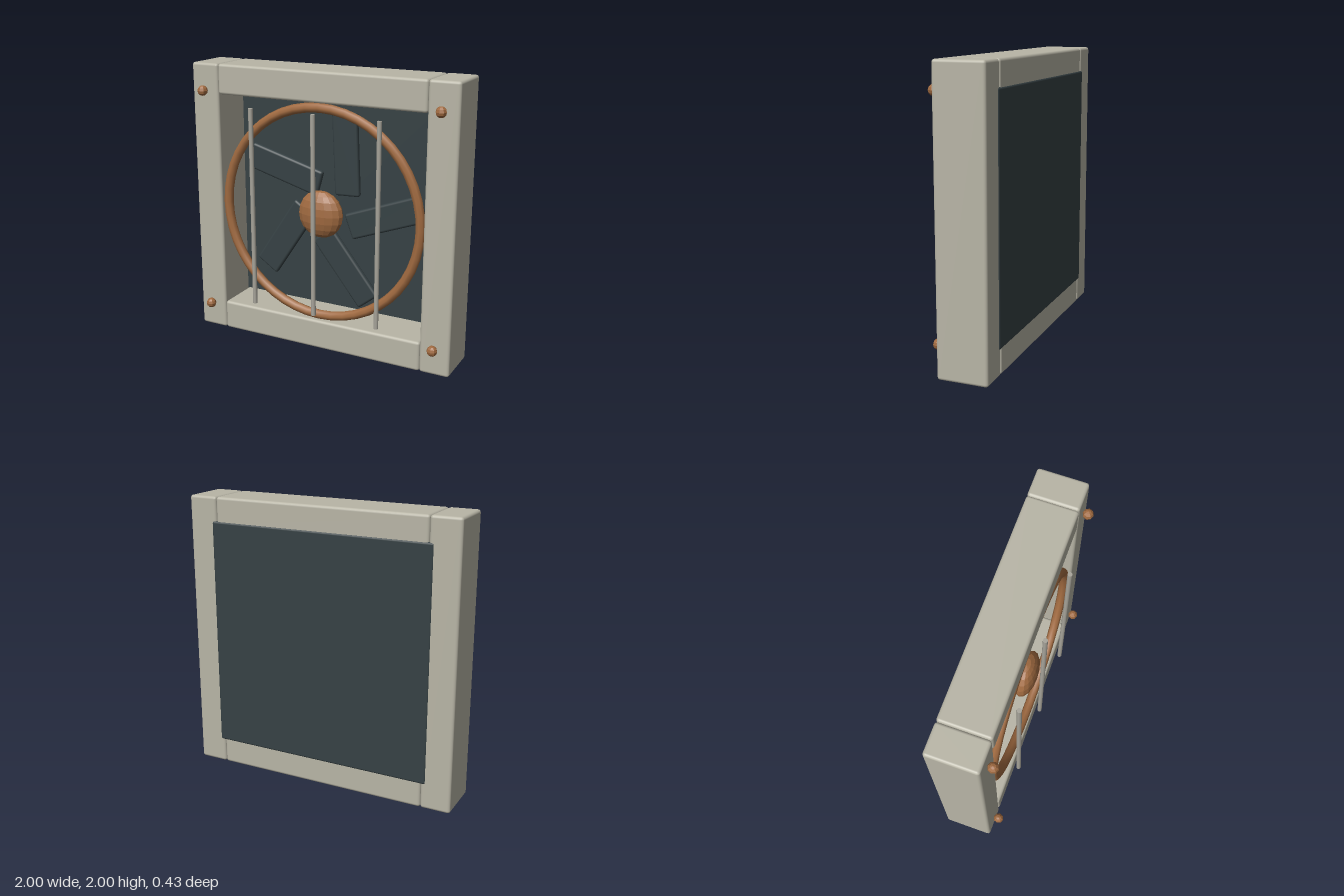
import * as THREE from 'three';
import { RoundedBoxGeometry } from 'three/addons/geometries/RoundedBoxGeometry.js';

const material = (color, flatShading = false) => new THREE.MeshStandardMaterial({ color, flatShading });

export function createModel() {
  const group = new THREE.Group();
  const stone = material(0xb8b5a6);
  const dark = material(0x364144);
  const copper = material(0xa06a40, true);
  const steel = material(0xa8a59b);

  function add(name, geometry, mat, x, y, z, parent = group) {
    const mesh = new THREE.Mesh(geometry, mat);
    mesh.name = name;
    mesh.position.set(x, y, z);
    parent.add(mesh);
    return mesh;
  }

  // Square frame: two full-height posts with rails between them
  const postGeometry = new RoundedBoxGeometry(0.215, 2, 0.35, 2, 0.02);
  const railGeometry = new RoundedBoxGeometry(1.57, 0.215, 0.35, 2, 0.02);
  for (const s of [1, -1]) {
    add(s > 0 ? 'leftPost' : 'rightPost', postGeometry, stone, s * 0.8925, 1, -0.034);
    add(s > 0 ? 'topRail' : 'bottomRail', railGeometry, stone, 0, 1 + s * 0.8925, -0.034);
  }

  // Back panel, a little proud of the frame
  add('backPanel', new RoundedBoxGeometry(1.64, 1.65, 0.036, 2, 0.015), dark, 0, 1.005, -0.197);

  // Fan: ring, flattened hub and five skewed blades
  add('ring', new THREE.TorusGeometry(0.75, 0.034, 8, 48), material(0xa06a40), 0, 1, 0.1);
  const hub = add('hub', new THREE.SphereGeometry(0.17, 16, 10), copper, 0, 1, 0.08);
  hub.scale.z = 0.47;

  const blades = new THREE.Group();
  blades.name = 'blades';
  blades.position.set(0, 1, -0.045);
  group.add(blades);
  const bladeGeometry = new RoundedBoxGeometry(0.59, 0.19, 0.045, 2, 0.018);
  for (let i = 0; i < 5; i++) {
    const a = (i / 5) * Math.PI * 2;
    const blade = add('blade', bladeGeometry, dark, 0.435 * Math.cos(a), 0.435 * Math.sin(a), 0, blades);
    blade.rotation.z = a + 0.36;
  }

  // Guard bars in front of the fan
  const barGeometry = new THREE.CylinderGeometry(0.017, 0.017, 1.44, 8);
  for (const x of [-0.485, 0, 0.485]) add('guardBar', barGeometry, steel, x, 1, 0.195);

  // Corner bolts
  const boltGeometry = new THREE.SphereGeometry(0.037, 8, 6);
  for (const x of [-0.89, 0.89]) {
    for (const y of [0.195, 1.81]) add('bolt', boltGeometry, copper, x, y, 0.178);
  }
  return group;
}
